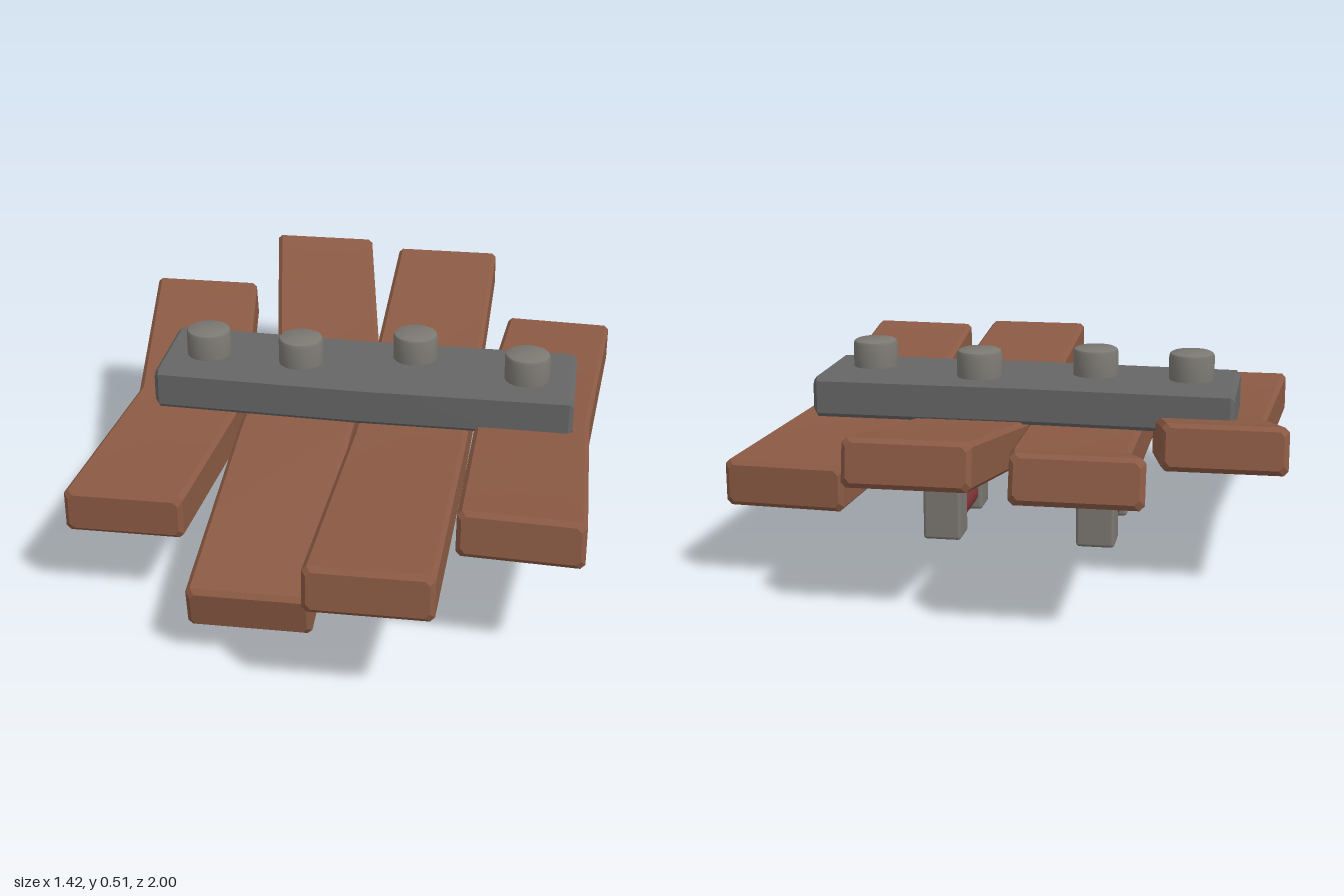
import * as THREE from 'three';
import { toCreasedNormals } from 'three/addons/utils/BufferGeometryUtils.js';
import { RoundedBoxGeometry } from 'three/addons/geometries/RoundedBoxGeometry.js';

const wood = new THREE.MeshStandardMaterial({ color: 0x8b5a44 });
const iron = new THREE.MeshStandardMaterial({ color: 0x666666 });
const steel = new THREE.MeshStandardMaterial({ color: 0x7b7872 });
const red = new THREE.MeshStandardMaterial({ color: 0x7c3434 });

// Bevelled board swept along +z through centre points [x, y, z];
// its ends are cut square to the slope and turned by the given yaw.
function boardGeometry(points, width, height, yaw = 0, bevel = 0.012) {
  const path = points.map((p) => new THREE.Vector3(...p));
  const last = path.length - 1;
  const side = new THREE.Vector3(Math.cos(yaw), 0, Math.sin(yaw));
  const rings = [];
  const addRing = (center, up, inset) => {
    const w = width / 2 - inset, h = height / 2 - inset, b = bevel;
    const outline = [[w, b - h], [w, h - b], [w - b, h], [b - w, h],
      [-w, h - b], [-w, b - h], [b - w, -h], [w - b, -h]];
    rings.push(outline.map(([u, v]) =>
      center.clone().addScaledVector(side, u).addScaledVector(up, v)));
  };
  path.forEach((p, i) => {
    const atEnd = i === 0 || i === last;
    if (!atEnd) return addRing(p, new THREE.Vector3(0, 1, 0), 0);
    const along = i === 0 ? path[1].clone().sub(p) : p.clone().sub(path[i - 1]);
    along.x = 0;
    along.normalize();
    const up = new THREE.Vector3(0, along.z, -along.y);
    const inner = p.clone().addScaledVector(along, i === 0 ? bevel : -bevel);
    if (i === 0) addRing(p, up, bevel);
    addRing(inner, up, 0);
    if (i === last) addRing(p, up, bevel);
  });

  const positions = rings.flat().flatMap((v) => v.toArray());
  const index = [];
  const n = 8;
  for (let s = 0; s < rings.length - 1; s++) {
    for (let k = 0; k < n; k++) {
      const a = s * n + k, b = s * n + (k + 1) % n;
      index.push(a, b, b + n, a, b + n, a + n);
    }
  }
  const end = (rings.length - 1) * n;
  for (let k = 1; k < n - 1; k++) {
    index.push(0, k + 1, k, end, end + k, end + k + 1);
  }
  const geometry = new THREE.BufferGeometry();
  geometry.setAttribute('position', new THREE.Float32BufferAttribute(positions, 3));
  geometry.setIndex(index);
  return toCreasedNormals(geometry, 0.35);
}

export function createModel() {
  const group = new THREE.Group();
  const add = (name, geometry, material, x = 0, y = 0, z = 0) => {
    const mesh = new THREE.Mesh(geometry, material);
    mesh.name = name;
    mesh.position.set(x, y, z);
    group.add(mesh);
    return mesh;
  };

  // Four warped planks, from right to left
  const planks = [
    { name: 'outerRightPlank', yaw: 0,
      points: [[-0.555, 0.38, -0.592], [-0.48, 0.26, -0.02], [-0.52, 0.26, 0.605]] },
    { name: 'innerRightPlank', yaw: 0,
      points: [[-0.243, 0.395, -0.987], [-0.148, 0.26, -0.43], [-0.148, 0.26, 0.15], [-0.148, 0.14, 0.83]] },
    { name: 'innerLeftPlank', yaw: 0,
      points: [[0.172, 0.395, -0.913], [0.172, 0.26, -0.15], [0.172, 0.26, 0.18], [0.172, 0.328, 0.994]] },
    { name: 'outerLeftPlank', yaw: 0.06,
      points: [[0.547, 0.26, -0.682], [0.503, 0.26, 0], [0.51, 0.363, 0.757]] },
  ];
  for (const { name, yaw, points } of planks) {
    add(name, boardGeometry(points, 0.315, 0.12, yaw), wood);
  }

  // Slightly bent cross bar, swept along z and turned to lie along x
  const bar = boardGeometry([[0.06, 0.377, -0.56], [0.036, 0.377, 0.01], [0.033, 0.377, 0.615]], 0.32, 0.115);
  add('crossBar', bar, iron).rotation.y = Math.PI / 2;

  // Bolt heads with a bevelled rim
  const boltProfile = [[0, 0], [0.063, 0], [0.063, 0.073], [0.06, 0.081], [0.053, 0.085], [0, 0.085]]
    .map(([r, y]) => new THREE.Vector2(r, y));
  const bolt = toCreasedNormals(new THREE.LatheGeometry(boltProfile, 32), 0.6);
  for (const [x, z] of [[-0.43, -0.045], [-0.16, -0.025], [0.157, -0.1], [0.48, -0.005]]) {
    add('boltHead', bolt, steel, x, 0.426, z);
  }

  // Two brackets below, each a pair of blocks joined by a rod
  const block = new RoundedBoxGeometry(0.106, 0.22, 0.1, 2, 0.01);
  const rod = new THREE.CylinderGeometry(0.042, 0.042, 0.22, 24);
  for (const x of [-0.192, 0.235]) {
    for (const z of [0.087, -0.213]) add('bracketBlock', block, steel, x, 0.11, z);
    add('bracketRod', rod, red, x, 0.052, -0.063).rotation.x = Math.PI / 2;
  }
  return group;
}
